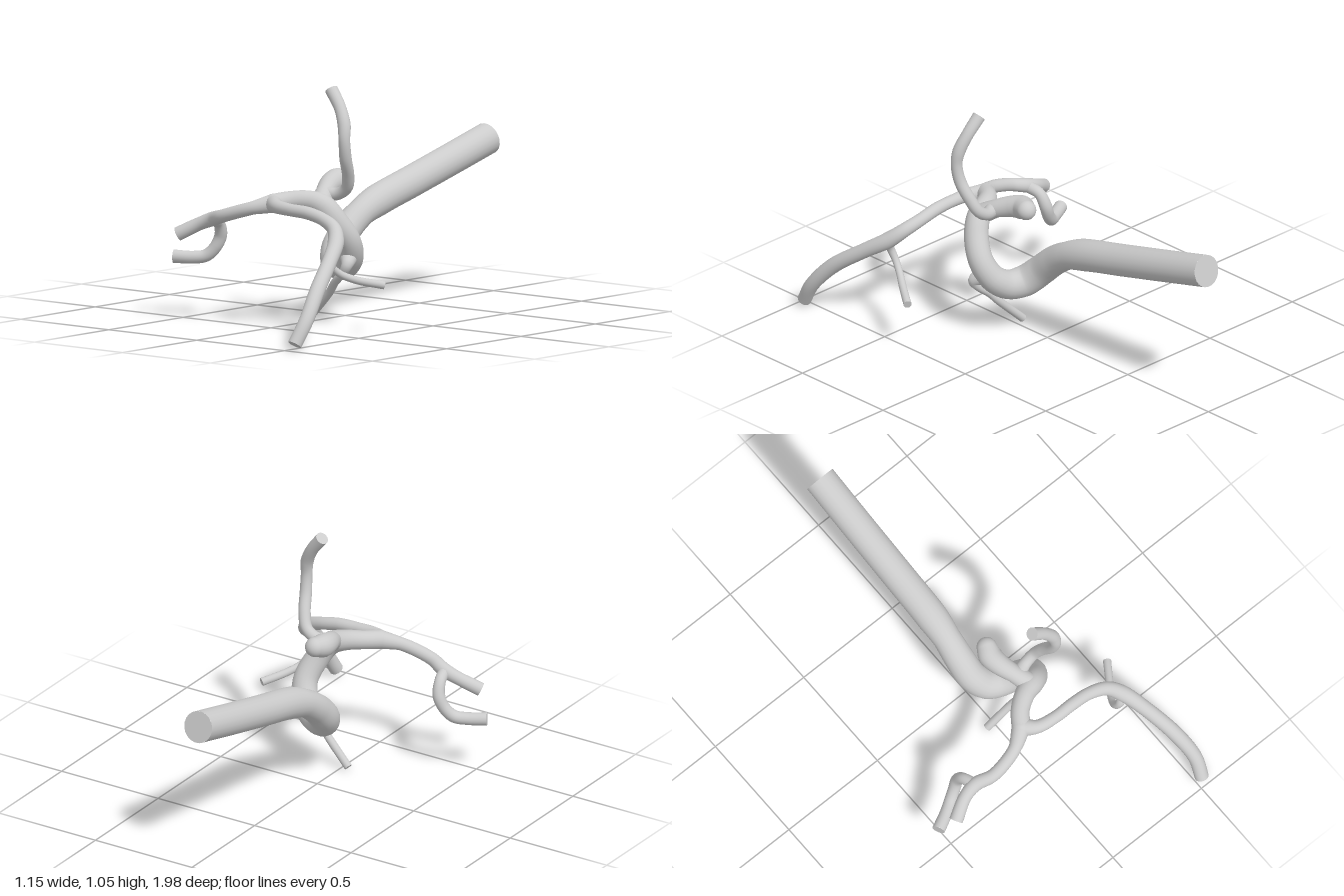
import * as THREE from 'three';

const SIDES = 20;
const material = new THREE.MeshStandardMaterial({ color: 0xcccccc });

// A smooth vessel through stations [x, y, z, radius], with optional flat ends.
function vessel(name, stations, { capStart = false, capEnd = true } = {}) {
  const group = new THREE.Group();
  group.name = name;
  const curve = new THREE.CatmullRomCurve3(
    stations.map(([x, y, z]) => new THREE.Vector3(x, y, z)), false, 'centripetal');
  const rings = stations.length * 7;

  // radius blended between neighbouring stations
  const radiusAt = (u) => {
    const s = curve.getUtoTmapping(u) * (stations.length - 1);
    const i = Math.min(Math.floor(s), stations.length - 2);
    return THREE.MathUtils.lerp(stations[i][3], stations[i + 1][3], s - i);
  };

  // unit tube, each ring scaled about its centre
  const geometry = new THREE.TubeGeometry(curve, rings, 1, SIDES, false);
  const pos = geometry.attributes.position;
  const p = new THREE.Vector3();
  for (let i = 0; i <= rings; i++) {
    const centre = curve.getPointAt(i / rings);
    const r = radiusAt(i / rings);
    for (let j = 0; j <= SIDES; j++) {
      const k = i * (SIDES + 1) + j;
      p.fromBufferAttribute(pos, k).sub(centre).multiplyScalar(r).add(centre);
      pos.setXYZ(k, p.x, p.y, p.z);
    }
  }
  const wall = new THREE.Mesh(geometry, material);
  wall.name = name + 'Wall';
  group.add(wall);

  // flat cut ends
  const addCap = (u, direction) => {
    const cap = new THREE.Mesh(new THREE.CircleGeometry(radiusAt(u), SIDES), material);
    cap.name = name + 'CutEnd';
    cap.position.copy(curve.getPointAt(u));
    cap.quaternion.setFromUnitVectors(new THREE.Vector3(0, 0, 1),
      curve.getTangentAt(u).multiplyScalar(direction));
    group.add(cap);
  };
  if (capStart) addCap(0, -1);
  if (capEnd) addCap(1, 1);
  return group;
}

// Rounded swelling that blends a joint or closes a blind end
function bulb(name, x, y, z, r) {
  const mesh = new THREE.Mesh(new THREE.SphereGeometry(r, 24, 16), material);
  mesh.name = name;
  mesh.position.set(x, y, z);
  return mesh;
}

export function createModel() {
  const model = new THREE.Group();
  model.name = 'vesselTree';

  model.add(
    // straight inlet, then the S-shaped loop up to the fork
    vessel('trunk', [
      [-0.015, 0.675, -0.973, 0.071], [-0.012, 0.61, -0.72, 0.071],
      [-0.008, 0.545, -0.46, 0.071], [-0.005, 0.485, -0.22, 0.071],
      [-0.008, 0.445, -0.12, 0.062], [-0.012, 0.385, -0.03, 0.066],
      [-0.005, 0.315, 0.045, 0.068], [0.035, 0.26, 0.1, 0.07],
      [0.1, 0.25, 0.135, 0.065], [0.165, 0.29, 0.165, 0.06],
      [0.197, 0.37, 0.21, 0.055], [0.172, 0.46, 0.265, 0.054],
      [0.125, 0.53, 0.3, 0.052], [0.065, 0.55, 0.325, 0.045],
      [0, 0.55, 0.37, 0.041], [-0.045, 0.54, 0.43, 0.042],
    ], { capStart: true, capEnd: false }),
    bulb('forkJoint', -0.045, 0.54, 0.43, 0.042),

    // blind rounded stub above the loop
    vessel('stub', [
      [0.11, 0.545, 0.29, 0.045], [0.08, 0.58, 0.23, 0.04],
      [0.052, 0.605, 0.16, 0.048], [0.045, 0.615, 0.11, 0.053],
      [0.058, 0.62, 0.072, 0.044],
    ], { capEnd: false }),
    bulb('stubTip', 0.058, 0.62, 0.072, 0.044),

    // upright branch
    vessel('upperBranch', [
      [0.08, 0.575, 0.25, 0.035], [0.15, 0.578, 0.225, 0.027],
      [0.2, 0.61, 0.225, 0.026], [0.228, 0.67, 0.25, 0.027],
      [0.247, 0.75, 0.29, 0.027], [0.253, 0.83, 0.305, 0.025],
      [0.245, 0.895, 0.297, 0.029], [0.21, 0.965, 0.282, 0.027],
      [0.15, 1.04, 0.27, 0.029],
    ]),

    // right branch and its lower offshoot
    vessel('rightBranch', [
      [-0.045, 0.54, 0.43, 0.042], [-0.12, 0.518, 0.48, 0.029],
      [-0.19, 0.497, 0.5, 0.029], [-0.27, 0.472, 0.505, 0.029],
      [-0.345, 0.45, 0.482, 0.032], [-0.41, 0.425, 0.49, 0.029],
      [-0.5, 0.375, 0.535, 0.031],
    ]),
    vessel('rightOffshoot', [
      [-0.35, 0.445, 0.475, 0.027], [-0.364, 0.425, 0.42, 0.025],
      [-0.375, 0.37, 0.393, 0.028], [-0.398, 0.315, 0.4, 0.027],
      [-0.435, 0.275, 0.42, 0.028], [-0.485, 0.265, 0.45, 0.028],
      [-0.562, 0.267, 0.49, 0.029],
    ]),

    // long left branch sweeping forward and down
    vessel('leftBranch', [
      [-0.045, 0.54, 0.43, 0.042], [0.01, 0.535, 0.472, 0.03],
      [0.1, 0.53, 0.487, 0.027], [0.2, 0.525, 0.487, 0.028],
      [0.29, 0.505, 0.49, 0.028], [0.37, 0.473, 0.512, 0.031],
      [0.42, 0.425, 0.56, 0.036], [0.468, 0.355, 0.66, 0.033],
      [0.518, 0.25, 0.8, 0.034], [0.543, 0.13, 0.905, 0.032],
      [0.53, 0.03, 0.967, 0.031],
    ]),
    vessel('leftOffshoot', [
      [0.42, 0.42, 0.565, 0.026], [0.393, 0.37, 0.572, 0.018],
      [0.384, 0.32, 0.55, 0.016], [0.4, 0.28, 0.51, 0.016],
      [0.44, 0.25, 0.45, 0.017], [0.512, 0.222, 0.345, 0.018],
    ]),

    // thin branch dropping from the loop
    vessel('lowerBranch', [
      [0.185, 0.31, 0.19, 0.045], [0.213, 0.272, 0.24, 0.025],
      [0.19, 0.235, 0.24, 0.018], [0.13, 0.185, 0.225, 0.018],
      [0.09, 0.14, 0.21, 0.018], [-0.037, 0.018, 0.191, 0.018],
    ]),
  );
  return model;
}
